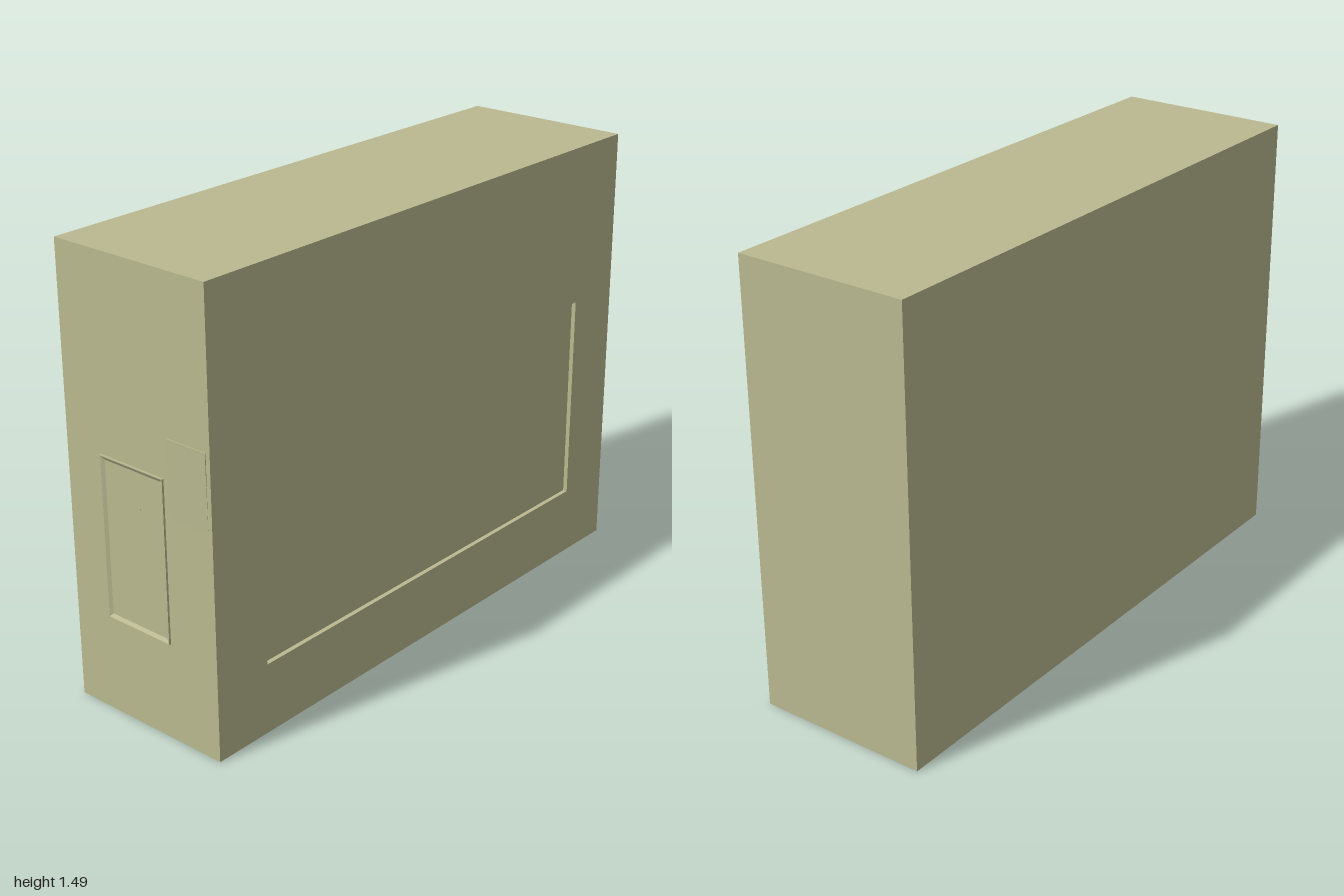
import * as THREE from 'three';

const WIDTH = 0.591, HEIGHT = 1.487, LENGTH = 1.964;
const RECESS = 0.015; // depth of the side panel

// Rectangular path, counter-clockwise
function rect(path, x0, y0, x1, y1) {
  path.moveTo(x0, y0);
  path.lineTo(x1, y0);
  path.lineTo(x1, y1);
  path.lineTo(x0, y1);
  path.closePath();
  return path;
}

// Loft through rectangles given as [x0, y0, x1, y1, z]
function rectLoft(sections) {
  const pos = [];
  const rings = sections.map(([x0, y0, x1, y1, z]) => [[x0, y0, z], [x1, y0, z], [x1, y1, z], [x0, y1, z]]);
  for (let i = 0; i < rings.length - 1; i++) {
    for (let j = 0; j < 4; j++) {
      const k = (j + 1) % 4;
      const a = rings[i][j], b = rings[i][k], c = rings[i + 1][k], d = rings[i + 1][j];
      pos.push(...a, ...b, ...c, ...a, ...c, ...d);
    }
  }
  const geo = new THREE.BufferGeometry();
  geo.setAttribute('position', new THREE.Float32BufferAttribute(pos, 3));
  geo.computeVertexNormals();
  return geo;
}

export function createModel() {
  const model = new THREE.Group();
  model.name = 'cabinet';
  const khaki = new THREE.MeshStandardMaterial({ color: 0xbab990 });
  khaki.name = 'khaki';

  const add = (name, geo, x = 0, y = 0, z = 0) => {
    const mesh = new THREE.Mesh(geo, khaki);
    mesh.name = name;
    mesh.position.set(x, y, z);
    model.add(mesh);
    return mesh;
  };

  // Main block, stopping at the floor of the side recess
  add('body', new THREE.BoxGeometry(WIDTH - RECESS, HEIGHT, LENGTH), -RECESS / 2, HEIGHT / 2, 0);

  // Side skin with a long rectangular opening
  const side = rect(new THREE.Shape(), -LENGTH / 2, 0, LENGTH / 2, HEIGHT);
  side.holes.push(rect(new THREE.Path(), -0.774, 0.235, 0.774, 0.945));
  const skin = new THREE.ExtrudeGeometry(side, { depth: RECESS, bevelEnabled: false });
  skin.rotateY(Math.PI / 2);
  add('recessedSidePanel', skin, WIDTH / 2 - RECESS, 0, 0);

  // Thin raised rim on the front, sloping inward to a flat panel
  const front = LENGTH / 2;
  const [x0, y0, x1, y1] = [-0.15, 0.325, 0.108, 0.86];
  const inset = (d, z) => [x0 + d, y0 + d, x1 - d, y1 - d, z];
  add('frontPanelRim', rectLoft([inset(0, 0), inset(0, 0.007), inset(0.003, 0.007), inset(0.014, 0)]), 0, 0, front);

  // Tiny stud inside the front panel
  add('stud', new THREE.BoxGeometry(0.005, 0.004, 0.004), 0.003, 0.73, front);

  // Very shallow wedge beside the panel, fading into the front face
  const wedge = new THREE.Shape();
  wedge.moveTo(0, 0.74);
  wedge.lineTo(0.003, 0.99);
  wedge.lineTo(0, 0.99);
  wedge.closePath();
  const wedgeGeo = new THREE.ExtrudeGeometry(wedge, { depth: 0.155, bevelEnabled: false });
  wedgeGeo.rotateY(-Math.PI / 2);
  add('frontWedge', wedgeGeo, 0.28, 0, front);

  // The block stands slightly turned
  model.rotation.y = -0.0637;
  const root = new THREE.Group();
  root.add(model);
  return root;
}
